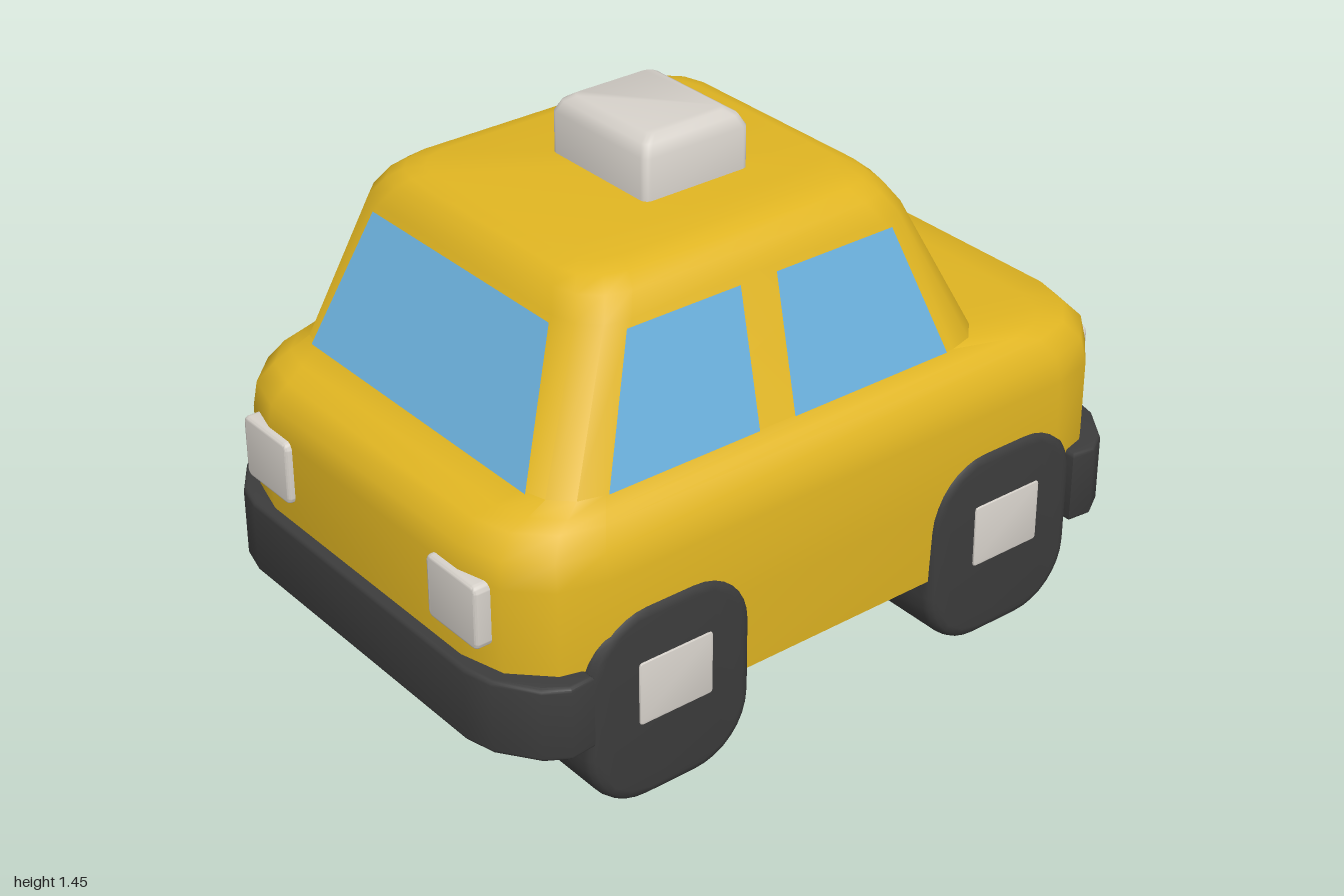
import * as THREE from 'three';
import { toCreasedNormals } from 'three/addons/utils/BufferGeometryUtils.js';

const mat = (name, color, side = THREE.FrontSide) => new THREE.MeshStandardMaterial({ name, color, side });

// Closed skin through rounded-rectangle rings [y, xMin, xMax, halfDepth, cornerRadius]
function loft(rings, seg = 3) {
  const pos = [], idx = [], n = 4 * (seg + 1);
  for (const [y, x0, x1, hz, c] of rings) {
    const centres = [[x1 - c, hz - c], [x0 + c, hz - c], [x0 + c, c - hz], [x1 - c, c - hz]];
    centres.forEach(([cx, cz], q) => {
      for (let i = 0; i <= seg; i++) {
        const a = (q + i / seg) * Math.PI / 2;
        pos.push(cx + c * Math.cos(a), y, cz + c * Math.sin(a));
      }
    });
  }
  for (let r = 0; r < rings.length - 1; r++) {
    for (let i = 0; i < n; i++) {
      const a = r * n + i, b = r * n + (i + 1) % n;
      idx.push(a, a + n, b, b, a + n, b + n);
    }
  }
  const top = (rings.length - 1) * n;
  for (let i = 1; i < n - 1; i++) {
    idx.push(0, i, i + 1, top, top + i + 1, top + i);
  }
  const g = new THREE.BufferGeometry();
  g.setAttribute('position', new THREE.Float32BufferAttribute(pos, 3));
  g.setIndex(idx);
  return toCreasedNormals(g, 0.8);
}

// Rounded rectangle outline
function roundedRect(w, h, r) {
  const s = new THREE.Shape(), x = w / 2 - r, y = h / 2 - r;
  s.absarc(x, y, r, 0, Math.PI / 2);
  s.absarc(-x, y, r, Math.PI / 2, Math.PI);
  s.absarc(-x, -y, r, Math.PI, Math.PI * 1.5);
  s.absarc(x, -y, r, Math.PI * 1.5, Math.PI * 2);
  return s;
}

// Bevelled block of a shape, centred along its depth
function block(shape, depth, bevel, curveSegments = 4) {
  const g = new THREE.ExtrudeGeometry(shape, {
    depth: depth - 2 * bevel, bevelThickness: bevel, bevelSize: bevel, bevelOffset: -bevel,
    bevelSegments: 3, curveSegments,
  });
  g.translate(0, 0, bevel - depth / 2);
  return toCreasedNormals(g, 0.7);
}

// Four-cornered pane
function pane(points) {
  const g = new THREE.BufferGeometry();
  g.setAttribute('position', new THREE.Float32BufferAttribute(points.flat(), 3));
  g.setIndex([0, 1, 2, 0, 2, 3]);
  g.computeVertexNormals();
  return g;
}

export function createModel() {
  const paint = mat('yellowPaint', 0xe0b522);
  const glass = mat('blueGlass', 0x70b8e6, THREE.DoubleSide);
  const dark = mat('darkRubber', 0x3c3c3c);
  const pale = mat('paleGrey', 0xd6d1ca);
  const car = new THREE.Group();
  car.name = 'car';
  const add = (name, geometry, material, x = 0, y = 0, z = 0) => {
    const m = new THREE.Mesh(geometry, material);
    m.name = name;
    m.position.set(x, y, z);
    car.add(m);
    return m;
  };

  // Body and cabin in one skin, nose towards +x
  add('body', loft([
    [0.23, -0.96, 0.96, 0.65, 0.25],
    [0.45, -0.97, 0.975, 0.656, 0.25],
    [0.66, -0.97, 0.975, 0.656, 0.25],
    [0.73, -0.96, 0.96, 0.642, 0.24],
    [0.78, -0.915, 0.91, 0.61, 0.22],
    [0.80, -0.86, 0.80, 0.59, 0.18],
    [0.825, -0.80, 0.565, 0.566, 0.14],
    [1.20, -0.65, 0.38, 0.485, 0.13],
    [1.25, -0.62, 0.35, 0.45, 0.13],
    [1.278, -0.59, 0.32, 0.41, 0.12],
    [1.29, -0.55, 0.28, 0.36, 0.10],
  ]), paint);

  // Roof sign
  add('roofSign', loft([
    [1.27, -0.245, 0.075, 0.187, 0.02],
    [1.40, -0.245, 0.075, 0.187, 0.02],
    [1.43, -0.23, 0.06, 0.172, 0.02],
    [1.445, -0.205, 0.035, 0.15, 0.02],
  ]), pale);

  // Windows lie on the sloping cabin walls
  const lerp = (a, b, y) => a + (b - a) * (y - 0.825) / 0.375;
  const lo = 0.826, hi = 1.185, gap = 0.005;
  const sideZ = (y) => lerp(0.566, 0.485, y) + gap;
  const sidePanes = { frontSideWindow: [-0.095, 0.40, 0.27, -0.095], rearSideWindow: [-0.655, -0.205, -0.205, -0.54] };
  for (const [name, xs] of Object.entries(sidePanes)) {
    for (const s of [1, -1]) {
      const p = xs.map((x, i) => { const y = i < 2 ? lo : hi; return [x, y, s * sideZ(y)]; });
      add(name, pane(s > 0 ? p : p.reverse()), glass);
    }
  }
  const endPane = (x0, x1, s) => {
    const p = [[0.45, lo], [-0.45, lo], [-0.36, hi], [0.36, hi]].map(([z, y]) => [lerp(x0, x1, y) + s * gap, y, z]);
    return pane(s > 0 ? p : p.reverse());
  };
  add('windscreen', endPane(0.565, 0.38, 1), glass);
  add('rearWindow', endPane(-0.80, -0.65, -1), glass);

  // Wrap-around bumpers, drawn in plan and stood upright
  const bumperShape = new THREE.Shape();
  const outer = [[0.78, 0.67], [0.85, 0.677], [0.91, 0.64], [0.98, 0.54], [1.0, 0.46]];
  const inner = [[0.90, 0.44], [0.78, 0.58]];
  const outline = [...outer, ...outer.map(([x, z]) => [x, -z]).reverse(),
    ...inner.map(([x, z]) => [x, -z]).reverse(), ...inner];
  bumperShape.setFromPoints(outline.map(([x, z]) => new THREE.Vector2(x, z)));
  const bumper = block(bumperShape, 0.205, 0.012).rotateX(-Math.PI / 2);
  add('frontBumper', bumper, dark, 0, 0.328, 0);
  add('rearBumper', bumper, dark, 0, 0.328, 0).rotation.y = Math.PI;

  // Chunky square wheels with square hubs
  const wheel = block(roundedRect(0.49, 0.555, 0.175), 0.305, 0.03);
  const hub = block(roundedRect(0.22, 0.175, 0.008), 0.008, 0.002, 1);
  for (const x of [0.537, -0.545]) {
    for (const s of [1, -1]) {
      const end = x > 0 ? 'front' : 'rear';
      add(end + 'Wheel', wheel, dark, x, 0.2775, s * 0.5135);
      add(end + 'Hub', hub, pale, x + 0.008, 0.315, s * 0.667);
    }
  }

  // Lights at both ends and the grille
  const lamp = block(roundedRect(0.2, 0.175, 0.02), 0.06, 0.01).rotateY(Math.PI / 2);
  for (const s of [1, -1]) {
    add('headlight', lamp, pale, 0.963, 0.575, s * 0.392);
    add('tailLight', lamp, pale, -0.957, 0.58, s * 0.40);
  }
  add('grille', block(roundedRect(0.455, 0.16, 0.015), 0.05, 0.008).rotateY(Math.PI / 2), dark, 0.961, 0.55, 0);

  return car;
}
